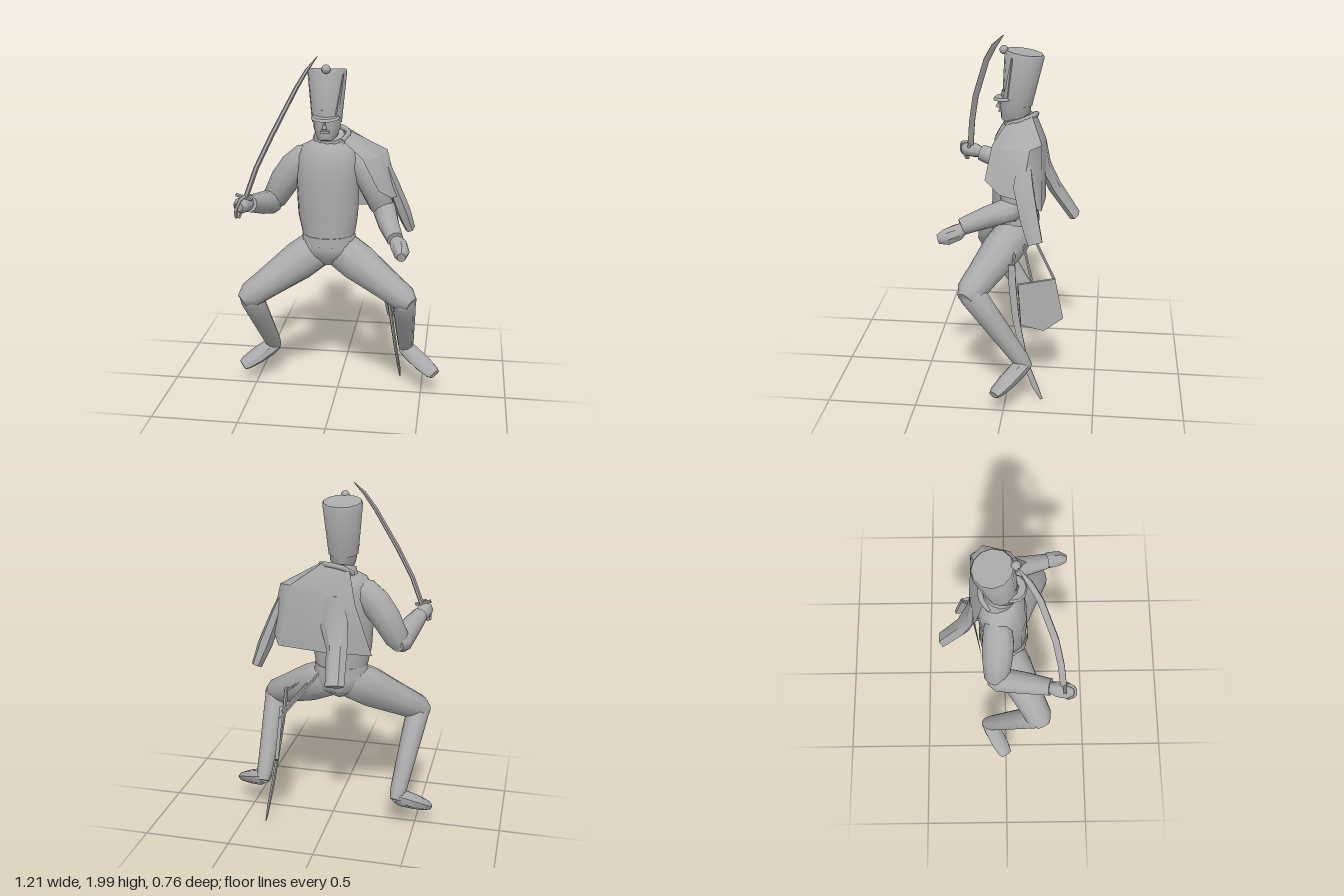
import * as THREE from 'three';
import { toCreasedNormals } from 'three/addons/utils/BufferGeometryUtils.js';

const V = (a) => new THREE.Vector3(a[0], a[1], a[2]);
const Y = [0, 1, 0], Z = [0, 0, 1];

// Closed skin over elliptical rings; each ring is [x, y, z, radiusU, radiusV]
function loft(rings, sides = 10, ref = Z) {
  const pos = [], idx = [], n = rings.length;
  rings.forEach((r, i) => {
    const t = V(rings[Math.min(i + 1, n - 1)]).sub(V(rings[Math.max(i - 1, 0)])).normalize();
    const u = V(ref).cross(t).normalize(), v = t.clone().cross(u);
    for (let j = 0; j < sides; j++) {
      const a = (j / sides) * Math.PI * 2;
      const p = V(r).addScaledVector(u, Math.cos(a) * r[3]).addScaledVector(v, Math.sin(a) * (r[4] ?? r[3]));
      pos.push(p.x, p.y, p.z);
    }
  });
  pos.push(...rings[0].slice(0, 3), ...rings[n - 1].slice(0, 3));
  const c0 = n * sides, c1 = c0 + 1, last = (n - 1) * sides;
  for (let j = 0; j < sides; j++) {
    const k = (j + 1) % sides;
    for (let i = 0; i < n - 1; i++) {
      const a = i * sides, b = a + sides;
      idx.push(a + j, a + k, b + k, a + j, b + k, b + j);
    }
    idx.push(c0, k, j, c1, last + j, last + k);
  }
  return finish(pos, idx);
}

// Open sheet through a grid of columns of points
function sheet(columns) {
  const rows = columns[0].length, idx = [];
  for (let i = 0; i < columns.length - 1; i++)
    for (let j = 0; j < rows - 1; j++) {
      const a = i * rows + j, b = a + rows;
      idx.push(a, a + 1, b + 1, a, b + 1, b);
    }
  return finish(columns.flat(2), idx);
}

function finish(pos, idx) {
  const g = new THREE.BufferGeometry();
  g.setAttribute('position', new THREE.Float32BufferAttribute(pos, 3));
  g.setIndex(idx);
  return toCreasedNormals(g, 0.8);
}

export function createModel() {
  const model = new THREE.Group();
  const grey = new THREE.MeshStandardMaterial({ color: 0xaaaaaa, side: THREE.DoubleSide });
  grey.name = 'grey';
  const add = (name, geo, p, rot) => {
    const m = new THREE.Mesh(geo, grey);
    m.name = name;
    if (p) m.position.set(...p);
    if (rot) m.rotation.set(...rot);
    model.add(m);
  };

  // Torso and hips
  add('torso', loft([
    [-0.05, 0.95, -0.01, 0.145, 0.135], [-0.055, 1.1, -0.01, 0.172, 0.13], [-0.058, 1.3, -0.015, 0.18, 0.135],
    [-0.055, 1.43, -0.025, 0.178, 0.13], [-0.055, 1.495, -0.035, 0.148, 0.105], [-0.055, 1.53, -0.035, 0.08, 0.08],
  ], 14));
  add('belt', loft([[-0.05, 0.94, -0.01, 0.16, 0.144], [-0.05, 0.99, -0.01, 0.152, 0.14]], 14));
  add('hips', loft([
    [-0.05, 0.805, 0, 0.045, 0.07], [-0.05, 0.86, -0.01, 0.15, 0.13],
    [-0.05, 0.92, -0.01, 0.175, 0.142], [-0.05, 0.97, -0.01, 0.145, 0.135],
  ], 12));

  // Head, collar and shako
  add('neck', loft([[-0.055, 1.48, -0.04, 0.06], [-0.06, 1.6, -0.02, 0.06]]));
  add('head', loft([
    [-0.06, 1.525, 0.03, 0.035, 0.045], [-0.06, 1.56, 0.01, 0.06, 0.07],
    [-0.06, 1.6, -0.01, 0.075, 0.088], [-0.06, 1.7, -0.02, 0.08, 0.085],
  ], 12));
  add('nose', new THREE.ConeGeometry(0.015, 0.05, 5), [-0.06, 1.632, 0.08], [-0.25, 0, 0]);
  add('moustache', new THREE.BoxGeometry(0.05, 0.012, 0.016), [-0.06, 1.59, 0.072]);
  add('collar', new THREE.CylinderGeometry(0.086, 0.1, 0.05, 12), [-0.05, 1.535, -0.035], [0.3, 0, 0]);
  add('hat', loft([[-0.062, 1.63, -0.02, 0.084], [-0.065, 1.905, -0.06, 0.111], [-0.065, 1.918, -0.062, 0.104]], 12));
  add('visor', new THREE.CylinderGeometry(0.072, 0.082, 0.014, 12), [-0.062, 1.668, 0.033], [0.12, 0, 0]);
  add('hatFlap', loft([[-0.002, 1.67, 0.03, 0.012, 0.022], [0.034, 1.9, 0.0, 0.004]], 4));
  add('pompom', new THREE.SphereGeometry(0.025, 10, 8), [-0.055, 1.93, 0.052]);

  // Legs: hip offset, then knee, ankle and toe of the stance
  [
    ['right', -0.11, [-0.475, 0.66, 0.195], [-0.41, 0.25, -0.09], [-0.582, 0.116, 0.002]],
    ['left', 0.01, [0.4, 0.685, 0.19], [0.4, 0.28, -0.09], [0.582, 0.153, 0.042]],
  ].forEach(([side, hx, k, a, toe]) => {
    const s = Math.sign(k[0]);
    const mix = (p, q, f) => p.map((v, i) => v + (q[i] - v) * f);
    const hip = [hx, 0.895, -0.02];
    add(side + 'Thigh', loft([
      [...mix(hip, k, -0.1), 0.08, 0.09], [...hip, 0.112, 0.115], [...mix(hip, k, 0.3), 0.114, 0.115],
      [...mix(hip, k, 0.75), 0.088, 0.09], [...k, 0.076, 0.08], [...mix(hip, k, 1.12), 0.04, 0.045],
    ]));
    add(side + 'Shin', loft([
      [...mix(a, k, 1.08), 0.045, 0.045], [...mix(a, k, 0.96), 0.068, 0.075],
      [...mix(a, k, 0.65), 0.062, 0.066], [...a, 0.047, 0.048], [...mix(a, k, -0.12), 0.035, 0.035],
    ]));
    // Blunt foot, rolled so its front edge is the lower one
    const heel = [a[0] - s * 0.012, a[1] - 0.028, a[2] - 0.022];
    add(side + 'Foot', loft([
      [...heel, 0.044, 0.038], [...mix(heel, toe, 0.2), 0.052, 0.05],
      [...mix(heel, toe, 0.6), 0.056, 0.043], [...mix(heel, toe, 0.9), 0.048, 0.032], [...toe, 0.036, 0.022],
    ], 8, [0, 1, 0.4]));
  });

  // Arms and fists
  add('rightUpperArm', loft([
    [-0.1, 1.455, -0.04, 0.05], [-0.19, 1.42, -0.04, 0.08], [-0.25, 1.36, -0.04, 0.088], [-0.31, 1.28, -0.045, 0.084],
    [-0.375, 1.165, -0.05, 0.07], [-0.4, 1.11, -0.05, 0.035],
  ]));
  add('rightForearm', loft([
    [-0.38, 1.14, -0.09, 0.04], [-0.39, 1.15, -0.04, 0.07], [-0.42, 1.18, 0.1, 0.062], [-0.455, 1.215, 0.24, 0.048],
  ], 10, Y));
  add('rightHand', loft([
    [-0.455, 1.215, 0.23, 0.03], [-0.47, 1.225, 0.28, 0.045, 0.045],
    [-0.48, 1.23, 0.33, 0.045, 0.045], [-0.485, 1.23, 0.36, 0.025, 0.025],
  ], 8, Y));
  add('leftUpperArm', loft([
    [0.06, 1.44, -0.03, 0.05], [0.13, 1.39, -0.03, 0.08], [0.2, 1.27, -0.03, 0.08], [0.25, 1.15, -0.03, 0.068], [0.27, 1.1, -0.03, 0.035],
  ]));
  add('leftForearm', loft([
    [0.255, 1.14, -0.07, 0.04], [0.265, 1.13, -0.03, 0.068], [0.3, 1.09, 0.1, 0.06], [0.35, 1.045, 0.24, 0.046],
  ], 10, Y));
  add('leftHand', loft([
    [0.345, 1.045, 0.22, 0.03], [0.37, 1.02, 0.26, 0.05, 0.046], [0.388, 0.998, 0.315, 0.046, 0.048], [0.393, 0.985, 0.36, 0.024, 0.028],
  ], 8, Y));

  // Sabre
  add('blade', loft([
    [-0.46, 1.26, 0.305, 0.014, 0.02], [-0.4, 1.43, 0.285, 0.014, 0.02], [-0.32, 1.6, 0.25, 0.014, 0.02],
    [-0.2, 1.84, 0.168, 0.012, 0.019], [-0.15, 1.93, 0.118, 0.01, 0.017], [-0.1, 2.0, 0.06, 0.002, 0.003],
  ], 6));
  add('grip', loft([[-0.5, 1.165, 0.335, 0.016], [-0.46, 1.27, 0.31, 0.016]], 6));
  add('crossguard', loft([[-0.51, 1.285, 0.31, 0.01], [-0.42, 1.26, 0.31, 0.01]], 6));
  add('knuckleGuard', new THREE.TubeGeometry(new THREE.CatmullRomCurve3(
    [[-0.46, 1.28, 0.32], [-0.475, 1.27, 0.36], [-0.5, 1.21, 0.368], [-0.505, 1.165, 0.335]].map(V)), 8, 0.009, 5));

  // Pelisse slung over the left shoulder: front edge, around the shoulder, across the back
  add('pelisse', sheet([
    [[0.03, 1.54, 0.03], [0.15, 1.45, 0.095], [0.245, 1.28, 0.125]],
    [[0.05, 1.56, -0.02], [0.235, 1.45, 0.03], [0.31, 1.22, 0.04]],
    [[0.05, 1.58, -0.07], [0.27, 1.46, -0.12], [0.34, 1.2, -0.08]],
    [[0.03, 1.59, -0.11], [0.2, 1.47, -0.18], [0.27, 1.12, -0.185]],
    [[-0.04, 1.58, -0.13], [0, 1.45, -0.19], [0, 1.1, -0.19]],
    [[-0.12, 1.55, -0.12], [-0.16, 1.38, -0.165], [-0.25, 1.08, -0.13]],
  ]));
  add('pelisseCollar', new THREE.TubeGeometry(new THREE.CatmullRomCurve3(
    [[0.03, 1.53, 0.03], [0.055, 1.565, -0.06], [0, 1.582, -0.12], [-0.08, 1.57, -0.125], [-0.13, 1.53, -0.08]].map(V)), 10, 0.016, 6));
  add('leftEmptySleeve', loft([
    [0.25, 1.42, -0.09, 0.02, 0.035], [0.305, 1.27, -0.09, 0.036, 0.06], [0.365, 1.1, -0.13, 0.042, 0.055], [0.405, 0.985, -0.165, 0.03, 0.045],
  ], 6));
  add('backEmptySleeve', loft([
    [-0.03, 1.42, -0.17, 0.055, 0.02], [-0.045, 1.28, -0.18, 0.08, 0.035],
    [-0.075, 1.15, -0.235, 0.06, 0.038], [-0.09, 0.97, -0.355, 0.054, 0.033],
  ], 6));

  // Sabretache: outline in the z-y plane, leaning outward at the bottom, rear edge swung inward
  const bag = new THREE.Shape([[0.06, 0.69], [0.27, 0.715], [0.32, 0.48], [0.21, 0.41], [0.08, 0.45]].map((p) => new THREE.Vector2(...p)));
  const bagGeo = new THREE.ExtrudeGeometry(bag, { depth: 0.02, bevelEnabled: false }).rotateY(Math.PI / 2 + 0.25);
  add('sabretache', bagGeo, [0.372, 0.008, 0], [0, 0, 0.1]);
  [
    [[0.07, 0.94, -0.05], [0.275, 0.69, -0.14]],
    [[0.06, 0.94, -0.1], [0.245, 0.71, -0.26]],
    [[0.08, 0.94, -0.04], [0.28, 0.78, -0.03]],
  ].forEach(([p, q]) => add('waistStrap', loft([[...p, 0.008], [...q, 0.008]], 5)));

  // Scabbard
  add('scabbard', loft([
    [0.275, 0.8, -0.025, 0.012, 0.022], [0.285, 0.68, -0.03, 0.012, 0.023], [0.308, 0.5, -0.05, 0.011, 0.022],
    [0.34, 0.24, -0.105, 0.01, 0.02], [0.358, 0.08, -0.17, 0.009, 0.018], [0.363, 0.01, -0.205, 0.004, 0.008],
  ], 6));
  return model;
}
